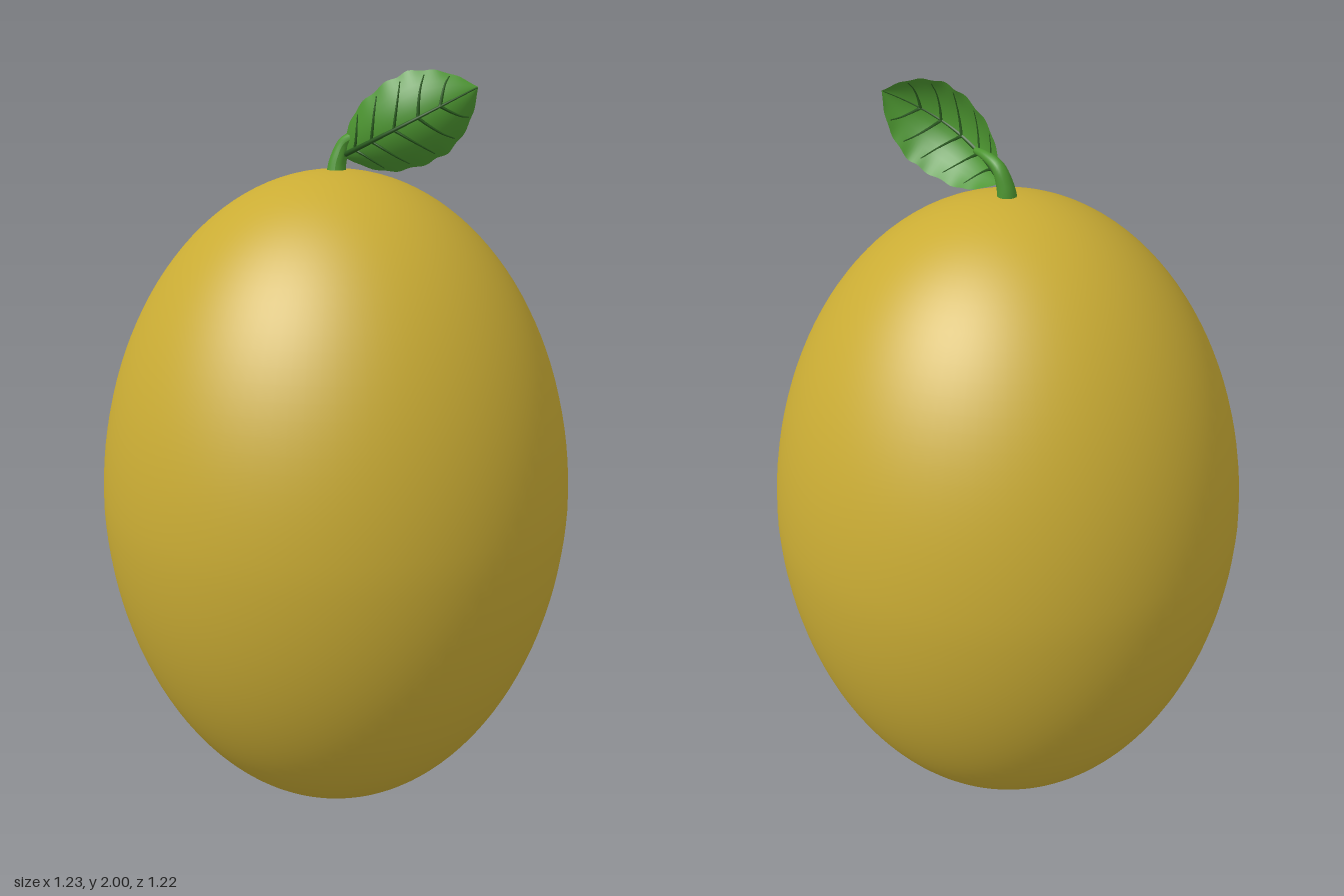
import * as THREE from 'three';

const V = (x, y, z) => new THREE.Vector3(x, y, z);

// Half width of the leaf along its length: blunt base, full middle, pointed tip
const widthCurve = new THREE.CatmullRomCurve3([
  V(0, 0.012, 0), V(0.08, 0.045, 0), V(0.2, 0.08, 0), V(0.35, 0.1, 0), V(0.52, 0.109, 0),
  V(0.66, 0.105, 0), V(0.8, 0.08, 0), V(0.91, 0.045, 0), V(1, 0, 0),
]);

// Point on the leaf: s runs base to tip, v runs lower edge (-1) to upper edge (+1)
function leafPoint(s, v, lift = 0) {
  const p = widthCurve.getPoint(s);
  const t = p.x;
  const notch = 1 + 0.025 * Math.sin(s * Math.PI * 14) * Math.abs(v) ** 4;
  const w = p.y * v * notch;
  const along = t * 0.373;
  const fold = (v > 0 ? 0.042 : 0.06) * v * v * (p.y / 0.109);
  return V(
    0.022 + along * 0.89 - w * 0.455,
    1.79 + along * 0.455 + w * 0.89,
    0.045 * t + 0.27 * t * (1 - t) - fold + lift,
  );
}

// Round rod along a path, tapering from radius r0 to r1
function taperedTube(points, r0, r1, segments, sides) {
  const curve = new THREE.CatmullRomCurve3(points);
  const geo = new THREE.TubeGeometry(curve, segments, 1, sides);
  const pos = geo.attributes.position;
  for (let i = 0; i <= segments; i++) {
    const c = curve.getPointAt(i / segments);
    const r = r0 + (r1 - r0) * (i / segments);
    for (let j = 0; j <= sides; j++) {
      const k = i * (sides + 1) + j;
      const p = V().fromBufferAttribute(pos, k).sub(c).multiplyScalar(r).add(c);
      pos.setXYZ(k, p.x, p.y, p.z);
    }
  }
  geo.computeVertexNormals();
  return geo;
}

function leafGeometry(nu = 56, nv = 12) {
  const verts = [], index = [];
  for (let i = 0; i <= nu; i++) {
    for (let j = 0; j <= nv; j++) verts.push(...leafPoint(i / nu, (j / nv) * 2 - 1).toArray());
  }
  for (let i = 0; i < nu; i++) {
    for (let j = 0; j < nv; j++) {
      const a = i * (nv + 1) + j, b = a + nv + 1;
      index.push(a, b, b + 1, a, b + 1, a + 1);
    }
  }
  const geo = new THREE.BufferGeometry();
  geo.setAttribute('position', new THREE.Float32BufferAttribute(verts, 3));
  geo.setIndex(index);
  geo.computeVertexNormals();
  return geo;
}

export function createModel() {
  const group = new THREE.Group();
  const material = (name, color) => {
    const m = new THREE.MeshStandardMaterial({ color });
    m.name = name;
    return m;
  };
  const yellow = material('lemon yellow', 0xcaac34);
  const green = material('leaf green', 0x4c9530);
  green.side = THREE.DoubleSide;
  const dark = material('vein green', 0x28591d);
  const add = (name, geo, mat, parent = group) => {
    const mesh = new THREE.Mesh(geo, mat);
    mesh.name = name;
    parent.add(mesh);
    return mesh;
  };

  // Fruit: egg-like body, a little fuller above than below
  const profile = [];
  for (let i = 0; i <= 64; i++) {
    const a = (i / 64) * Math.PI;
    const y = 0.89 - Math.cos(a) * 0.864;
    const taper = 1 - 0.03 * Math.max(0, Math.cos(a));
    profile.push(new THREE.Vector2(0.617 * Math.sin(a) * taper, y));
  }
  const fruit = add('fruit', new THREE.LatheGeometry(profile, 96), yellow);
  fruit.scale.z = 0.99;

  // Blossom end
  const nub = add('blossomEnd', new THREE.SphereGeometry(1, 32, 16), yellow);
  nub.scale.set(0.046, 0.03, 0.046);
  nub.position.y = 0.033;

  // Stem curving into the leaf
  add('stem', taperedTube([
    V(0, 1.735, 0), V(0.005, 1.775, -0.002), V(0.024, 1.82, -0.001), V(0.06, 1.838, 0.014), V(0.1, 1.843, 0.038),
  ], 0.026, 0.008, 24, 16), green);

  // Leaf with midrib and side veins
  const leaf = new THREE.Group();
  leaf.name = 'leaf';
  group.add(leaf);
  add('leafBlade', leafGeometry(), green, leaf);
  const rib = [];
  for (let i = 0; i <= 10; i++) rib.push(leafPoint(0.02 + i * 0.097, 0, 0.002));
  add('midrib', taperedTube(rib, 0.007, 0.002, 32, 8), dark, leaf);
  for (const side of [-1, 1]) {
    for (let i = 0; i < 5; i++) {
      const s = 0.14 + i * 0.14;
      const path = [0, 0.3, 0.6, 0.88].map((v) => leafPoint(s + v * 0.14, v * side, 0.001));
      add('sideVein', taperedTube(path, 0.0045, 0.0015, 12, 6), dark, leaf);
    }
  }
  return group;
}
